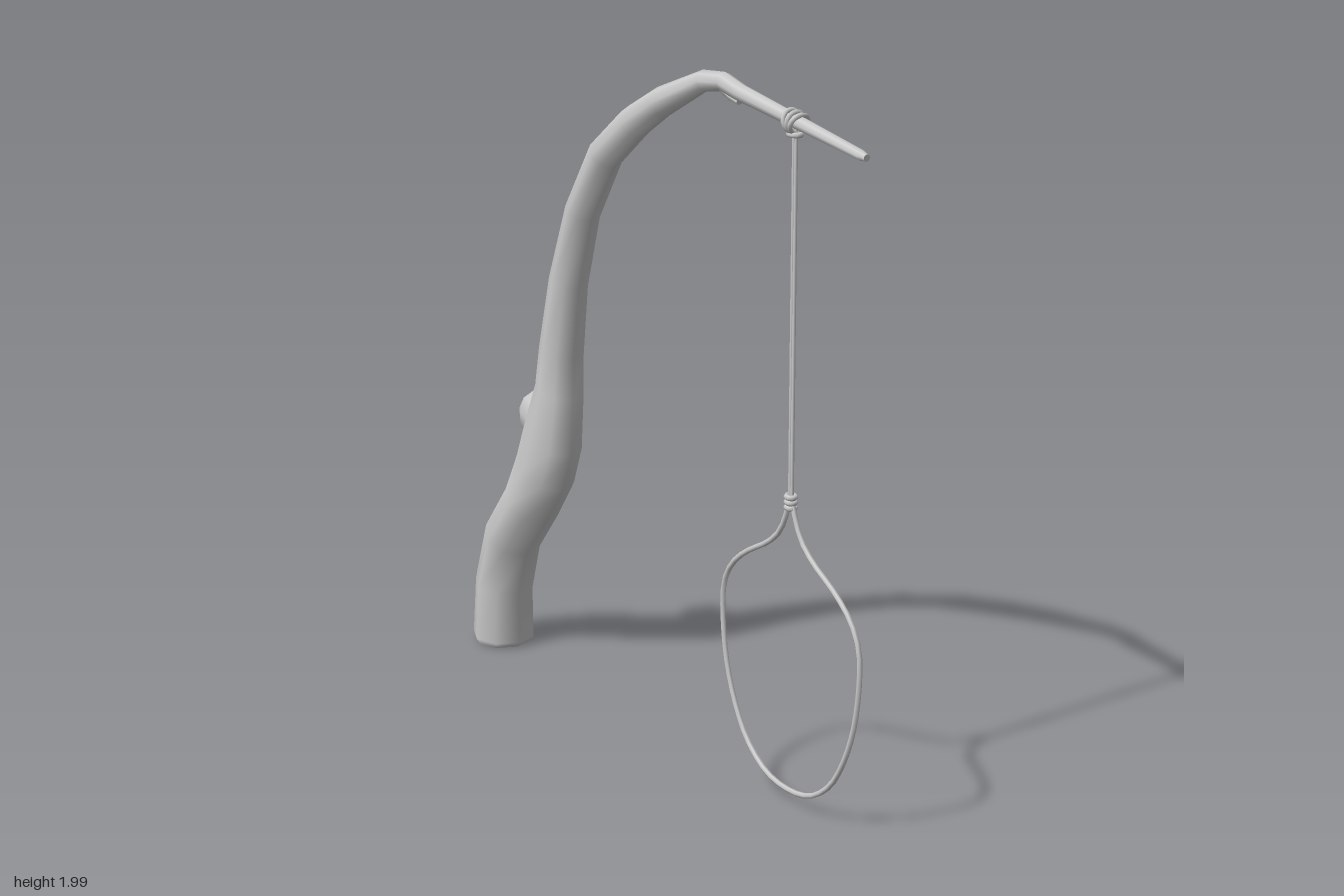
import * as THREE from 'three';
import { mergeGeometries } from 'three/addons/utils/BufferGeometryUtils.js';

const material = new THREE.MeshStandardMaterial({ color: 0xcccccc });

function part(name, geometry, parent) {
  const mesh = new THREE.Mesh(geometry, material);
  mesh.name = name;
  parent.add(mesh);
  return mesh;
}

// Tapered limb through oval sections [x, y, z, half width, half depth], with flat caps
function limb(sections, sides = 8) {
  const centres = sections.map(s => new THREE.Vector3(s[0], s[1], s[2]));
  const last = sections.length - 1;
  const across = new THREE.Vector3(1, 0, 0);
  const rings = sections.map((s, i) => {
    const along = centres[Math.min(i + 1, last)].clone().sub(centres[Math.max(i - 1, 0)]);
    const up = along.cross(across).normalize();
    return Array.from({ length: sides }, (_, j) => {
      const a = j / sides * Math.PI * 2;
      return centres[i].clone().addScaledVector(across, Math.cos(a) * s[3])
        .addScaledVector(up, Math.sin(a) * s[4]);
    });
  });
  const build = (points, index) => {
    const g = new THREE.BufferGeometry().setFromPoints(points);
    g.setIndex(index);
    g.computeVertexNormals();
    return g;
  };
  const side = [], start = [], end = [];
  for (let j = 0; j < sides; j++) {
    const k = (j + 1) % sides;
    for (let i = 0; i < last; i++) {
      const a = i * sides + j, b = i * sides + k;
      side.push(a, b, b + sides, a, b + sides, a + sides);
    }
    start.push(sides, k, j);
    end.push(sides, j, k);
  }
  return mergeGeometries([
    build(rings.flat(), side),
    build([...rings[0], centres[0]], start),
    build([...rings[last], centres[last]], end),
  ]);
}

export function createModel() {
  const model = new THREE.Group();
  model.name = 'snare';

  // Bent branch, from the cut base to the thin tip
  part('branch', limb([
    [0, 0.01, -0.885, 0.085, 0.083],
    [0, 0.03, -0.885, 0.097, 0.095],
    [0, 0.2, -0.877, 0.093, 0.088],
    [0, 0.37, -0.82, 0.09, 0.088],
    [0, 0.515, -0.70, 0.088, 0.09],
    [0, 0.64, -0.62, 0.084, 0.108],
    [-0.002, 0.75, -0.573, 0.08, 0.11],
    [-0.003, 0.91, -0.53, 0.071, 0.08],
    [-0.004, 1.035, -0.515, 0.067, 0.07],
    [-0.005, 1.255, -0.47, 0.06, 0.058],
    [-0.004, 1.48, -0.39, 0.055, 0.05],
    [-0.002, 1.672, -0.265, 0.05, 0.053],
    [0, 1.79, -0.113, 0.046, 0.052],
    [0.003, 1.868, 0.02, 0.041, 0.045],
    [0.006, 1.963, 0.23, 0.031, 0.03],
    [0.008, 1.974, 0.32, 0.027, 0.027],
    [0.008, 1.957, 0.4, 0.025, 0.024],
    [0.006, 1.925, 0.655, 0.02, 0.02],
    [0.003, 1.888, 0.95, 0.015, 0.015],
    [0.003, 1.885, 0.975, 0.01, 0.01],
  ]), model);

  // Stubs of cut side shoots
  part('largeStub', limb([
    [0, 0.765, -0.57, 0.05, 0.095],
    [0, 0.785, -0.645, 0.046, 0.075],
    [0, 0.803, -0.70, 0.04, 0.075],
    [0, 0.81, -0.72, 0.03, 0.05],
  ]), model);
  part('smallStub', limb([
    [0.008, 1.962, 0.31, 0.016, 0.018],
    [0.008, 1.943, 0.36, 0.015, 0.016],
    [0.008, 1.932, 0.395, 0.011, 0.01],
  ]), model);

  // Doubled hanging cord
  const cordX = 0.006, cordZ = 0.655;
  for (const s of [-1, 1]) {
    const strand = new THREE.CylinderGeometry(0.005, 0.005, 1.03, 6);
    part('cord', strand, model).position.set(cordX, 1.395, cordZ + s * 0.005);
  }

  // Noose, half an outline [offset, height] mirrored about the cord
  const half = [
    [0.005, 0.885], [0.014, 0.86], [0.035, 0.81], [0.065, 0.77], [0.12, 0.73], [0.195, 0.69],
    [0.265, 0.64], [0.305, 0.59], [0.322, 0.54], [0.322, 0.445], [0.3, 0.32],
    [0.255, 0.21], [0.195, 0.125], [0.105, 0.065], [0, 0.048],
  ];
  const outline = [...half, ...half.slice(0, -1).reverse().map(([d, y]) => [-d, y])];
  const path = new THREE.CatmullRomCurve3(
    outline.map(([d, y]) => new THREE.Vector3(cordX, y, cordZ + d)));
  part('noose', new THREE.TubeGeometry(path, 56, 0.008, 6), model);

  // Coils of the slip knot above the noose
  for (let i = 0; i < 3; i++) {
    const coil = part('slipKnotCoil', new THREE.TorusGeometry(0.012, 0.008, 6, 12), model);
    coil.position.set(cordX, 0.867 + i * 0.015, cordZ);
    coil.rotation.set(Math.PI / 2 + 0.15, 0, 0);
  }

  // Lashing around the twig, fanning out towards its underside
  for (const s of [-1, 0, 1]) {
    const coil = part('lashingCoil', new THREE.TorusGeometry(0.028, 0.007, 6, 16), model);
    coil.position.set(cordX, 1.922 - s * 0.002, cordZ + s * 0.016);
    coil.rotation.x = 0.12 + s * 0.32;
  }
  const hitch = part('lashingHitch', new THREE.TorusGeometry(0.015, 0.008, 6, 12), model);
  hitch.position.set(cordX, 1.89, cordZ);
  hitch.rotation.x = Math.PI / 2;
  hitch.scale.y = 1.2;

  return model;
}
